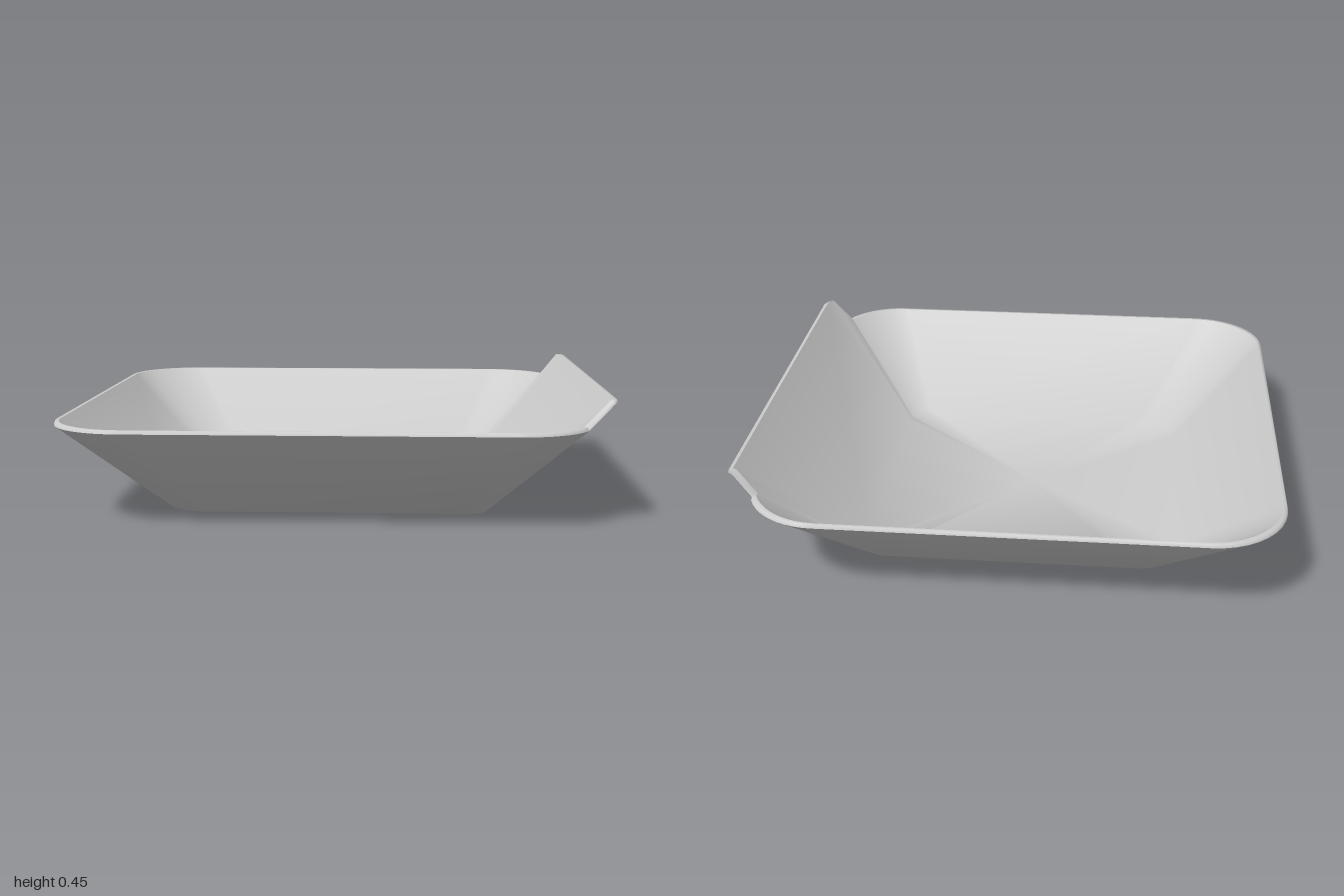
import * as THREE from 'three';

const RIM = 0.348, LIP = 0.44, T = 0.012;

// Points of a quarter-ish arc in the xz plane, angles in degrees
function arc(cx, cz, r, a0, a1, y, n = 10) {
  return Array.from({ length: n + 1 }, (_, i) => {
    const a = THREE.MathUtils.degToRad(a0 + (a1 - a0) * i / n);
    return new THREE.Vector3(cx + r * Math.cos(a), y, cz + r * Math.sin(a));
  });
}
const P = (x, y, z) => new THREE.Vector3(x, y, z);

// Upper edge: raised pouring lip on +x, then four rounded corners
function rimLoop() {
  return [
    P(0.98, LIP, -0.785), P(1, LIP, -0.77), P(1, LIP, 0.77), P(0.98, LIP, 0.825),
    P(0.895, RIM, 0.825),
    ...arc(0.65, 0.69, 0.28, 29, 90, RIM),
    ...arc(-0.72, 0.69, 0.28, 90, 180, RIM),
    ...arc(-0.72, -0.69, 0.28, 180, 270, RIM),
    ...arc(0.66, -0.69, 0.28, 270, 336, RIM),
    P(0.912, RIM, -0.79),
  ];
}

// Floor edge, with the same number of points in the same order
function floorLoop() {
  return [
    P(0.57, 0, -0.52), P(0.57, 0, -0.5), P(0.57, 0, 0.5), P(0.57, 0, 0.52),
    P(0.568, 0, 0.535),
    ...arc(0.49, 0.52, 0.08, 20, 90, 0),
    ...arc(-0.48, 0.45, 0.15, 90, 180, 0),
    ...arc(-0.48, -0.45, 0.15, 180, 270, 0),
    ...arc(0.49, -0.52, 0.08, 270, 340, 0),
    P(0.568, 0, -0.535),
  ];
}

// Moves a loop inwards and up
const inset = (loop, d, dy) => loop.map(p => {
  const l = Math.max(Math.abs(p.x), Math.abs(p.z));
  return P(p.x * (1 - d / l), p.y + dy, p.z * (1 - d / l));
});

// Skins consecutive closed loops; a single-point loop closes the end
function skin(name, loops, material) {
  const n = Math.max(...loops.map(l => l.length));
  const pos = [], starts = [], index = [];
  for (const l of loops) {
    starts.push(pos.length / 3);
    l.forEach(p => pos.push(p.x, p.y, p.z));
  }
  for (let k = 0; k + 1 < loops.length; k++) {
    const at = (j, i) => starts[j] + (loops[j].length === 1 ? 0 : i % n);
    for (let i = 0; i < n; i++) {
      if (loops[k].length > 1) index.push(at(k, i), at(k + 1, i), at(k, i + 1));
      if (loops[k + 1].length > 1) index.push(at(k, i + 1), at(k + 1, i), at(k + 1, i + 1));
    }
  }
  const g = new THREE.BufferGeometry();
  g.setAttribute('position', new THREE.Float32BufferAttribute(pos, 3));
  g.setIndex(index);
  g.computeVertexNormals();
  const mesh = new THREE.Mesh(g, material);
  mesh.name = name;
  return mesh;
}

export function createModel() {
  const group = new THREE.Group();
  group.name = 'tray';
  const material = new THREE.MeshStandardMaterial({ color: 0xcccccc, side: THREE.DoubleSide });

  const rim = rimLoop(), floor = floorLoop();
  const rimTop = inset(rim, 0.004, T), rimInner = inset(rim, 0.016, T);
  const floorInner = inset(floor, 0.006, T);

  group.add(
    skin('outerShell', [[P(-0.03, 0, 0)], floor, rim], material),
    skin('rimEdge', [rim, rimTop, rimInner], material),
    skin('innerShell', [rimInner, floorInner, [P(-0.03, T, 0)]], material),
  );
  return group;
}
